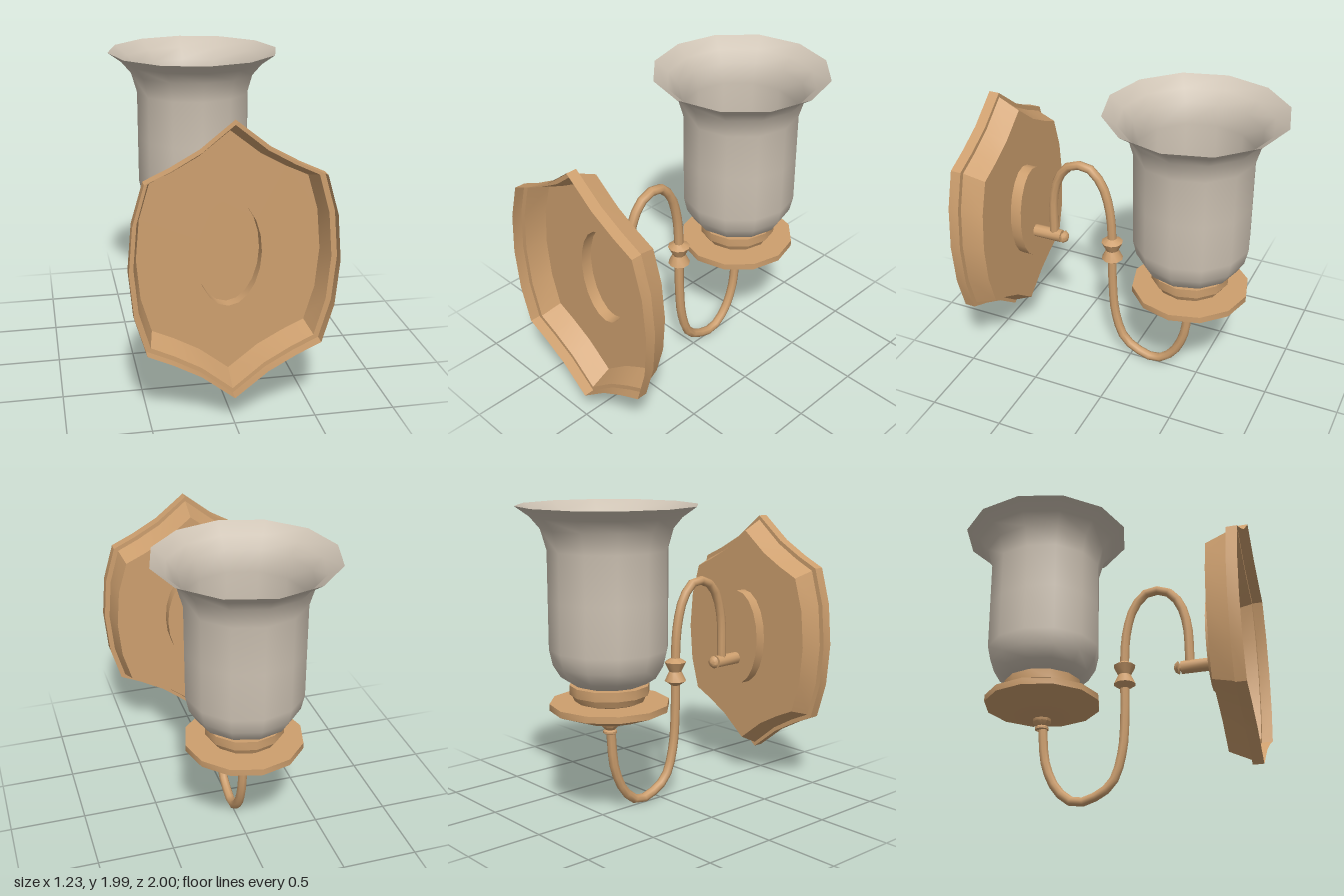
import * as THREE from 'three';
import { toCreasedNormals } from 'three/addons/utils/BufferGeometryUtils.js';

const brass = new THREE.MeshStandardMaterial({ color: 0xcd9f6e, side: THREE.DoubleSide });
brass.name = 'brass';
const glass = new THREE.MeshStandardMaterial({ color: 0xcdc2b3, side: THREE.DoubleSide });
glass.name = 'frosted glass';

const CENTRE_Y = 1.02; // height of the wall plate's middle
const ARM_Z = 0.135; // upright part of the arm
const SHADE_Z = -0.43; // axis of the shade

export function createModel() {
  const model = new THREE.Group();
  model.name = 'wallSconce';

  const add = (name, geometry, material, y = 0, z = 0) => {
    const mesh = new THREE.Mesh(geometry, material);
    mesh.name = name;
    mesh.position.set(0, y, z);
    model.add(mesh);
    return mesh;
  };
  const lathe = (profile, sides) =>
    new THREE.LatheGeometry(profile.map(([r, y]) => new THREE.Vector2(r, y)), sides);
  const creased = (profile, sides, angle = 0.6) => toCreasedNormals(lathe(profile, sides), angle);

  // Joins closed rings, each the outline scaled by sx, sy at depth z
  const loft = (outline, rings) => {
    const pos = [];
    const point = (i, [sx, sy, z]) => {
      const p = outline[i % outline.length];
      return [p.x * sx, p.y * sy, z];
    };
    for (let r = 0; r < rings.length - 1; r++) {
      for (let i = 0; i < outline.length; i++) {
        const a = point(i, rings[r]), b = point(i, rings[r + 1]);
        const c = point(i + 1, rings[r]), d = point(i + 1, rings[r + 1]);
        pos.push(...a, ...b, ...c, ...c, ...b, ...d);
      }
    }
    const geometry = new THREE.BufferGeometry();
    geometry.setAttribute('position', new THREE.Float32BufferAttribute(pos, 3));
    return toCreasedNormals(geometry, 0.6);
  };

  // Shield outline: one quarter, mirrored to all four
  const quarter = [[0.615, 0], [0.59, 0.28], [0.52, 0.52], [0.37, 0.59], [0.2, 0.685], [0, 0.845]];
  const half = [...quarter, ...quarter.slice(0, -1).reverse().map(([x, y]) => [-x, y])];
  const shield = [...half, ...half.slice(1, -1).reverse().map(([x, y]) => [x, -y])]
    .map(([x, y]) => new THREE.Vector2(x, y));
  const oval = Array.from({ length: 20 }, (_, i) => {
    const a = (i / 20) * Math.PI * 2;
    return new THREE.Vector2(0.198 * Math.cos(a), 0.335 * Math.sin(a));
  });

  // Hollow wall plate: rim, step and bevel, then the face with an oval opening
  add('wallPlateRim', loft(shield, [[1, 1, 1], [1, 1, 0.93], [0.945, 0.965, 0.93], [0.895, 0.885, 0.79]]),
    brass, CENTRE_Y);
  const face = new THREE.Shape(shield.map((p) => new THREE.Vector2(p.x * 0.895, p.y * 0.885)));
  face.holes.push(new THREE.Path(oval));
  add('wallPlateFace', new THREE.ShapeGeometry(face), brass, CENTRE_Y, 0.79);

  // Oval boss, hollow like the plate
  add('bossWall', loft(oval, [[1, 1, 0.79], [1, 1, 0.715]]), brass, CENTRE_Y);
  add('bossFace', new THREE.ShapeGeometry(new THREE.Shape(oval)), brass, CENTRE_Y, 0.715);

  // Short stem out of the boss, with a small end knob
  const stem = creased([
    [0, 0], [0.043, 0], [0.043, 0.2], [0.022, 0.2], [0.022, 0.21], [0.045, 0.218], [0.03, 0.24], [0, 0.252],
  ], 10, 0.7);
  add('stem', stem, brass, 0.872, 0.715).rotation.x = -Math.PI / 2;

  // Curved arm, listed as z, y
  const path = new THREE.CatmullRomCurve3([
    [0.572, 0.88], [0.56, 1.19], [0.505, 1.36], [0.42, 1.445], [0.3, 1.452], [0.205, 1.35],
    [0.15, 1.16], [0.135, 0.92], [0.135, 0.6], [0.113, 0.33], [0.045, 0.14], [-0.07, 0.06],
    [-0.195, 0.037], [-0.31, 0.12], [-0.395, 0.3], [-0.425, 0.57],
  ].map(([z, y]) => new THREE.Vector3(0, y, z)));
  add('arm', new THREE.TubeGeometry(path, 36, 0.031, 8), brass);

  // Waisted collar on the arm
  add('collar', creased([
    [0.03, 0.77], [0.073, 0.8], [0.042, 0.865], [0.073, 0.93], [0.03, 0.957],
  ], 10), brass, 0, ARM_Z);

  // Socket joining the arm to the drip pan
  add('panSocket', creased([
    [0.03, 0.54], [0.045, 0.548], [0.045, 0.562], [0.033, 0.572], [0.06, 0.6], [0.064, 0.625],
  ], 10, 0.7), brass, 0, SHADE_Z);

  // Drip pan
  add('dripPan', creased([
    [0, 0.617], [0.06, 0.617], [0.21, 0.65], [0.385, 0.715], [0.385, 0.758], [0, 0.758],
  ], 12), brass, 0, SHADE_Z);

  // Cup that holds the shade
  add('shadeCup', creased([
    [0.19, 0.757], [0.225, 0.77], [0.245, 0.815], [0.257, 0.815], [0.257, 0.875], [0, 0.875],
  ], 12), brass, 0, SHADE_Z);

  // Bell-shaped glass shade, open at the top
  add('shade', lathe([
    [0.2, 0.872], [0.25, 0.89], [0.31, 0.93], [0.358, 1.01], [0.38, 1.11], [0.38, 1.42],
    [0.38, 1.73], [0.417, 1.86], [0.48, 1.935], [0.57, 2],
  ], 12), glass, 0, SHADE_Z);

  return model;
}
